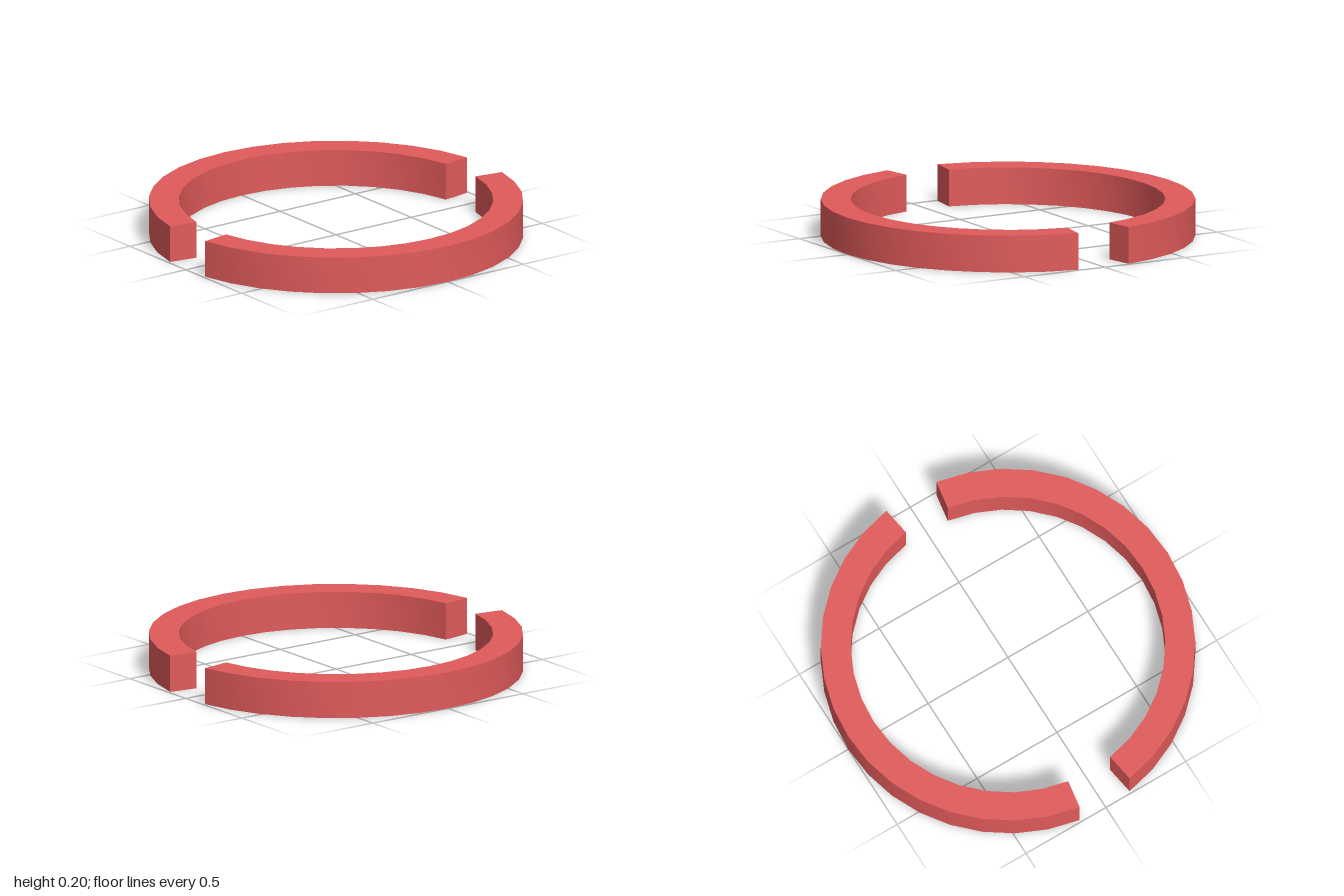
import * as THREE from 'three';
import { toCreasedNormals } from 'three/addons/utils/BufferGeometryUtils.js';

const OUTER = 1, INNER = 0.84, HEIGHT = 0.2;
const HALF_ARC = THREE.MathUtils.degToRad(81); // leaves an 18 degree gap at front and back

// One C-shaped segment, centred on the given angle
function ringHalf(name, centre, material) {
  const shape = new THREE.Shape();
  shape.absarc(0, 0, OUTER, centre - HALF_ARC, centre + HALF_ARC, false);
  shape.absarc(0, 0, INNER, centre + HALF_ARC, centre - HALF_ARC, true);
  shape.closePath();
  const extruded = new THREE.ExtrudeGeometry(shape, {
    depth: HEIGHT, bevelEnabled: false, curveSegments: 8, // 16 facets per arc
  });
  extruded.rotateX(-Math.PI / 2);
  // Smooth walls with sharp rims and ends
  const mesh = new THREE.Mesh(toCreasedNormals(extruded, 0.5), material);
  mesh.name = name;
  return mesh;
}

export function createModel() {
  const model = new THREE.Group();
  model.name = 'splitRing';
  const red = new THREE.MeshStandardMaterial({ color: 0xe05a5a });
  model.add(ringHalf('leftRingHalf', 0, red), ringHalf('rightRingHalf', Math.PI, red));
  return model;
}
